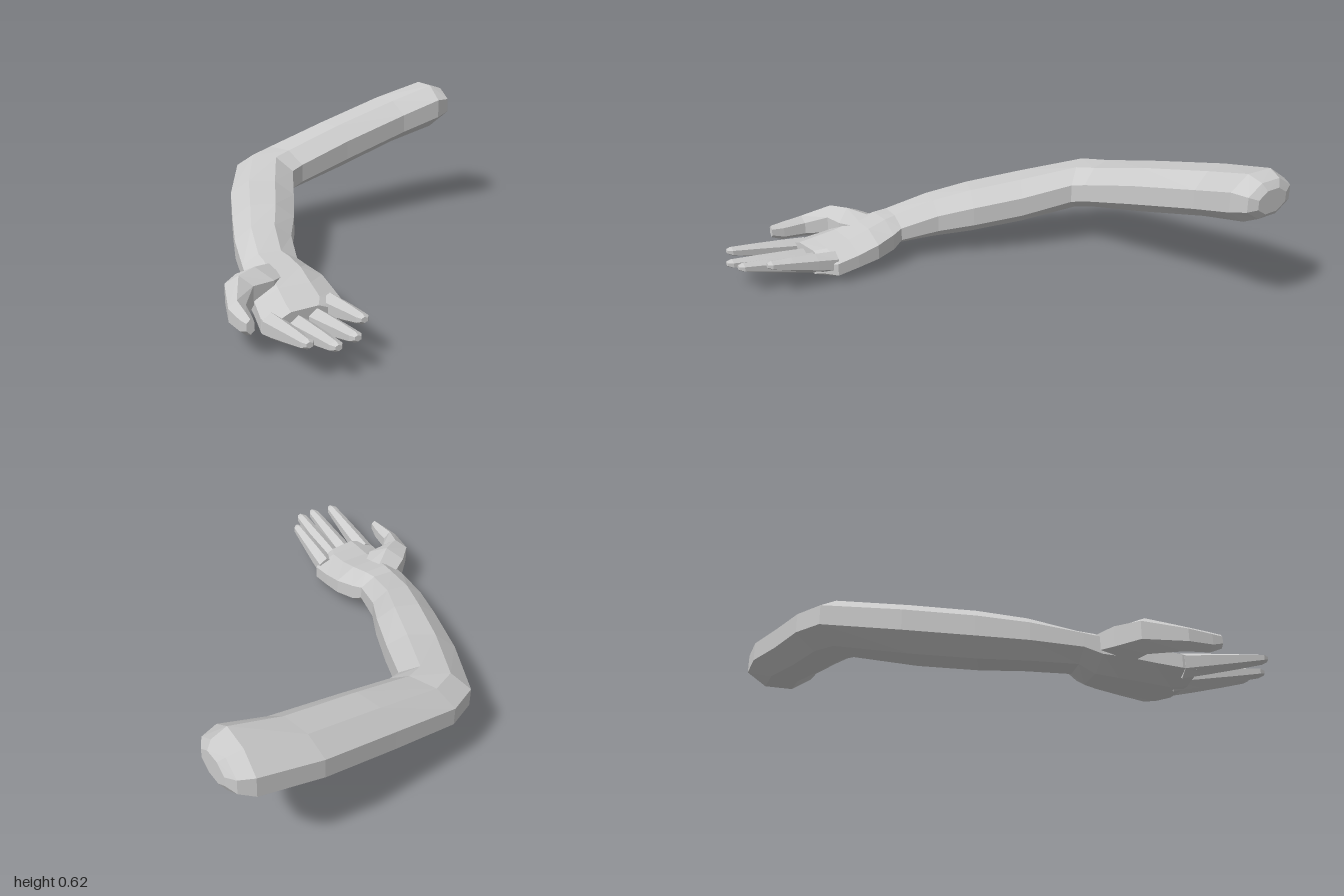
import * as THREE from 'three';

const skin = new THREE.MeshStandardMaterial({ color: 0xcccccc, flatShading: true });

// Lofts many-sided rings; each section is [leftX, leftZ, rightX, rightZ, bottomY, topY].
function loft(name, sections, sides) {
  const pos = [], index = [];
  const grow = 1 / Math.cos(Math.PI / sides);
  for (const [lx, lz, rx, rz, y0, y1] of sections) {
    for (let j = 0; j < sides; j++) {
      const a = ((j + 0.5) / sides) * Math.PI * 2;
      const c = 0.5 + 0.5 * Math.cos(a) * grow;
      const s = 0.5 + 0.5 * Math.sin(a) * grow;
      pos.push(lx + (rx - lx) * c, y0 + (y1 - y0) * s, lz + (rz - lz) * c);
    }
  }
  for (let i = 0; i < sections.length - 1; i++) {
    for (let j = 0; j < sides; j++) {
      const k = (j + 1) % sides;
      const a = i * sides + j, b = i * sides + k;
      index.push(a, b, b + sides, a, b + sides, a + sides);
    }
  }
  // Flat end caps
  const last = (sections.length - 1) * sides;
  for (let j = 1; j < sides - 1; j++) {
    index.push(0, j + 1, j, last, last + j, last + j + 1);
  }
  const geometry = new THREE.BufferGeometry();
  geometry.setAttribute('position', new THREE.Float32BufferAttribute(pos, 3));
  geometry.setIndex(index);
  geometry.computeVertexNormals();
  const mesh = new THREE.Mesh(geometry, skin);
  mesh.name = name;
  return mesh;
}

// Tapered finger that curls upward from the knuckle; base and tip are [x, y, z].
function finger(name, base, tip) {
  const steps = [[0, 0.038, 0.045], [0.3, 0.035, 0.038], [0.65, 0.029, 0.028], [0.94, 0.024, 0.018], [1, 0.012, 0.01]];
  const sections = steps.map(([t, w, h]) => {
    const x = base[0] + (tip[0] - base[0]) * t;
    const y = base[1] + (tip[1] - base[1]) * t;
    const z = base[2] + (tip[2] - base[2]) * t;
    return [x - w, z, x + w, z, y - h, y + h];
  });
  return loft(name, sections, 6);
}

export function createModel() {
  const arm = new THREE.Group();
  arm.name = 'arm';

  // Upper arm and forearm, from the shoulder stump round the elbow to the wrist
  const elbow = [-0.21, -0.83, -0.08, -0.56, 0.2, 0.395];
  const wrist = [-0.64, 0.22, -0.41, 0.22, 0.07, 0.21];
  arm.add(loft('upperArm', [
    [0.795, -0.93, 0.81, -0.77, 0.47, 0.57],
    [0.77, -0.975, 0.79, -0.73, 0.445, 0.6],
    [0.71, -1.0, 0.72, -0.7, 0.41, 0.62],
    [0.44, -0.98, 0.52, -0.69, 0.355, 0.56],
    [0.1, -0.9, 0.18, -0.62, 0.265, 0.475],
    elbow,
  ], 8));
  arm.add(loft('forearm', [
    elbow,
    [-0.34, -0.75, -0.14, -0.53, 0.18, 0.38],
    [-0.47, -0.45, -0.22, -0.31, 0.125, 0.335],
    [-0.55, -0.18, -0.3, -0.1, 0.095, 0.3],
    [-0.605, 0.02, -0.37, 0.05, 0.08, 0.26],
    wrist,
  ], 8));

  // Hand, palm up
  const hand = new THREE.Group();
  hand.name = 'hand';
  hand.add(loft('palm', [
    wrist,
    [-0.65, 0.29, -0.39, 0.27, 0.035, 0.205],
    [-0.67, 0.38, -0.36, 0.36, 0.025, 0.185],
    [-0.68, 0.48, -0.355, 0.46, 0.015, 0.155],
    [-0.695, 0.59, -0.355, 0.56, 0.0, 0.135],
    [-0.68, 0.66, -0.4, 0.61, 0.01, 0.125],
  ], 8));
  hand.add(loft('thumb', [
    [-0.62, 0.26, -0.5, 0.36, 0.08, 0.19],
    [-0.7, 0.32, -0.59, 0.45, 0.065, 0.21],
    [-0.77, 0.4, -0.68, 0.47, 0.075, 0.205],
    [-0.81, 0.57, -0.74, 0.56, 0.075, 0.165],
    [-0.8, 0.67, -0.75, 0.66, 0.08, 0.155],
    [-0.79, 0.715, -0.76, 0.715, 0.1, 0.15],
  ], 6));
  const fingers = [
    ['indexFinger', [-0.657, 0.065, 0.6], [-0.652, 0.135, 0.965]],
    ['middleFinger', [-0.567, 0.05, 0.6], [-0.56, 0.12, 0.995]],
    ['ringFinger', [-0.488, 0.06, 0.6], [-0.478, 0.13, 0.97]],
    ['littleFinger', [-0.406, 0.085, 0.55], [-0.405, 0.145, 0.865]],
  ];
  for (const [name, base, tip] of fingers) hand.add(finger(name, base, tip));
  arm.add(hand);
  return arm;
}
